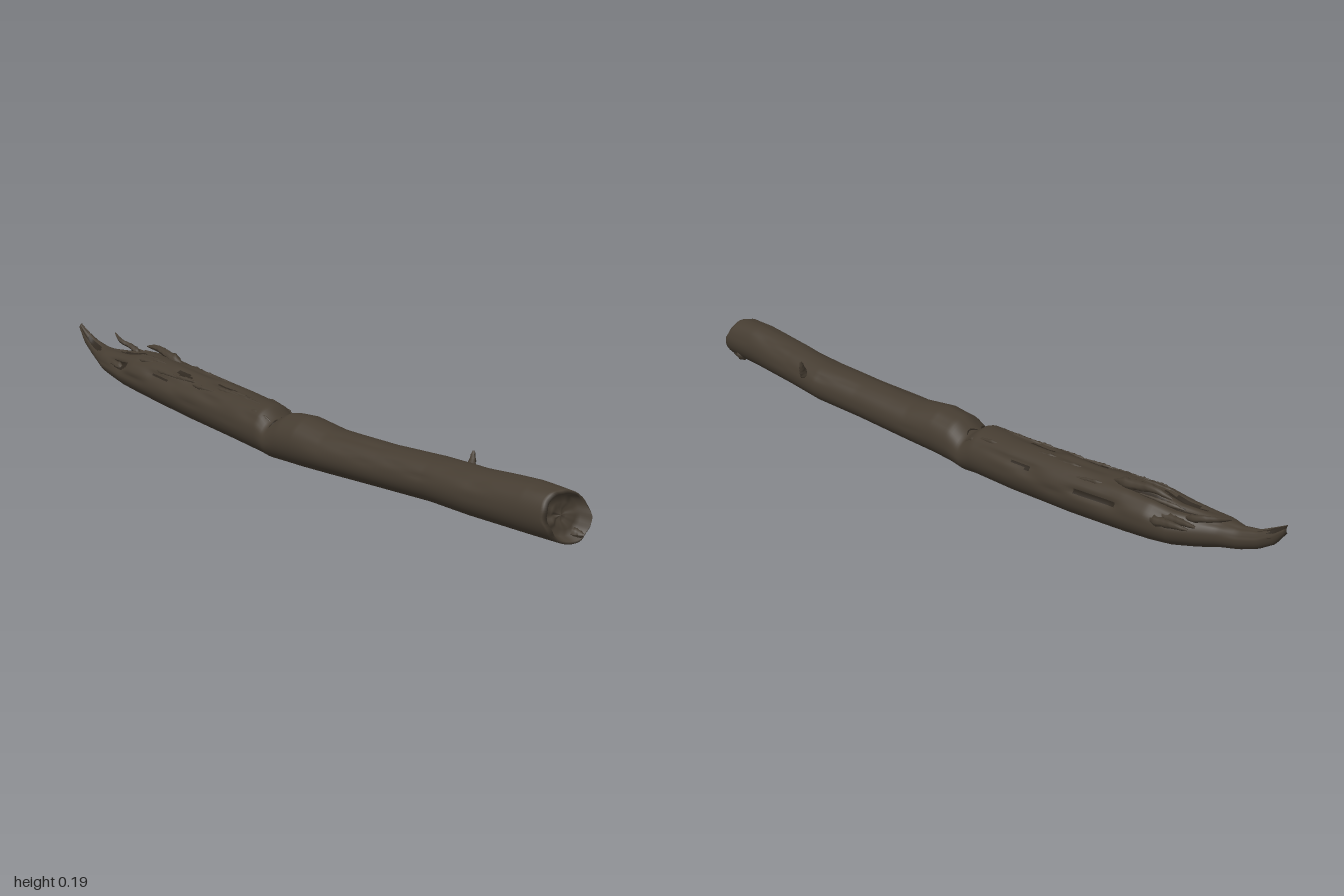
import * as THREE from 'three';

const bark = new THREE.MeshStandardMaterial({ color: 0x453c31 });
bark.name = 'weathered bark';
const crack = new THREE.MeshStandardMaterial({ color: 0x2e271f });
crack.name = 'dark crack';

// Log outline stations: x, bottom y, top y, back z, front z
const stations = [
  [-1.0, 0.17, 0.19, -0.005, 0.01],
  [-0.97, 0.13, 0.175, -0.01, 0.015],
  [-0.93, 0.105, 0.155, -0.018, 0.02],
  [-0.88, 0.085, 0.145, -0.025, 0.032],
  [-0.83, 0.072, 0.145, -0.035, 0.05],
  [-0.78, 0.058, 0.148, -0.055, 0.055],
  [-0.72, 0.046, 0.152, -0.08, 0.064],
  [-0.66, 0.038, 0.163, -0.088, 0.067],
  [-0.58, 0.03, 0.163, -0.087, 0.067],
  [-0.4, 0.016, 0.152, -0.082, 0.068],
  [-0.2, 0.006, 0.143, -0.075, 0.072],
  [-0.06, 0.001, 0.136, -0.064, 0.079],
  [-0.02, 0.0, 0.108, -0.062, 0.081],
  [0.03, 0.002, 0.135, -0.058, 0.084],
  [0.1, 0.005, 0.142, -0.055, 0.086],
  [0.2, 0.01, 0.13, -0.054, 0.082],
  [0.4, 0.02, 0.133, -0.055, 0.072],
  [0.56, 0.027, 0.141, -0.064, 0.067],
  [0.7, 0.032, 0.15, -0.05, 0.075],
  [0.88, 0.04, 0.166, -0.04, 0.077],
  [0.97, 0.045, 0.165, -0.036, 0.077],
];

function outline(x) {
  let i = 0;
  while (i < stations.length - 2 && x > stations[i + 1][0]) i++;
  const a = stations[i], b = stations[i + 1];
  const t = THREE.MathUtils.clamp((x - a[0]) / (b[0] - a[0]), 0, 1);
  return a.map((v, k) => v + (b[k] - v) * t);
}

// Seeded lattice noise, 0..1; the v axis wraps after n cells
function hash(i, j) {
  const s = Math.sin(i * 127.1 + j * 311.7 + 5.3) * 43758.5453;
  return s - Math.floor(s);
}
function noise(u, v, n) {
  const i = Math.floor(u), j = Math.floor(v);
  const f = (t) => t * t * (3 - 2 * t);
  const fu = f(u - i), fv = f(v - j);
  const h = (a, b) => hash(a, ((b % n) + n) % n + n * 3);
  const lerp = THREE.MathUtils.lerp;
  return lerp(lerp(h(i, j), h(i + 1, j), fu), lerp(h(i, j + 1), h(i + 1, j + 1), fu), fv);
}

// Depth of the lengthwise grooves, strongest on top of the torn end
function groove(x, a) {
  const w = a / (Math.PI * 2);
  const up = THREE.MathUtils.smoothstep(Math.sin(a), -0.35, 0.6);
  const torn = THREE.MathUtils.smoothstep(-x, 0.0, 0.6);
  const fine = Math.pow(noise(x * 11, w * 22, 22), 2.5);
  const broad = noise(x * 4 + 40, w * 7, 7);
  return 0.03 * broad + up * (0.05 + 0.17 * torn) * fine;
}

function logGeometry() {
  const rows = 240, cols = 64, pos = [], plain = [], dark = [];
  const ring = (x, shrink, place) => {
    const [, y0, y1, z0, z1] = outline(x);
    for (let j = 0; j < cols; j++) {
      const a = (j / cols) * Math.PI * 2;
      const r = (1 - groove(x, a)) * shrink;
      const s = Math.sin(a), c = Math.cos(a);
      pos.push(place(s, c, a), (y0 + y1) / 2 + ((y1 - y0) / 2) * s * r, (z0 + z1) / 2 + ((z1 - z0) / 2) * c * r);
    }
  };
  // Slanted right end: its low back edge reaches farthest
  const endX = (s, c, a) => 0.972 - 0.018 * c - 0.014 * s + 0.012 * (noise(3, a * 2.5464791, 16) - 0.5);
  const xs = [];
  for (let i = 0; i <= rows; i++) {
    const x = -1 + (1.97 * i) / rows;
    xs.push(x);
    const k = THREE.MathUtils.smoothstep(x, 0.86, 0.97);
    ring(x, 1, (s, c, a) => x + k * (endX(s, c, a) - 0.97));
  }
  // Broken end face, sunk inside a rough rim
  [[0.9, 0.004], [0.78, -0.016], [0.5, -0.012], [0.25, -0.02], [0.001, -0.016]].forEach(([r, d], n) => {
    xs.push(2);
    ring(0.97, r, (s, c, a) => 0.972 + (endX(s, c, a) - 0.972) * r + d + r * 0.014 * (noise(n + 9, (a / Math.PI) * 5, 10) - 0.5));
  });
  for (let i = 0; i < xs.length - 1; i++) {
    for (let j = 0; j < cols; j++) {
      const k = (j + 1) % cols;
      const p = i * cols + j, q = p + cols, r = (i + 1) * cols + k, s = i * cols + k;
      const deep = xs[i] < 0.97 && groove(xs[i], ((j + 0.5) / cols) * Math.PI * 2) > 0.1;
      (deep ? dark : plain).push(p, q, r, p, r, s);
    }
  }
  // Closed left tip
  for (let j = 1; j < cols - 1; j++) plain.push(0, j + 1, j);
  const g = new THREE.BufferGeometry();
  g.setAttribute('position', new THREE.Float32BufferAttribute(pos, 3));
  g.setIndex([...plain, ...dark]);
  g.addGroup(0, plain.length, 0);
  g.addGroup(plain.length, dark.length, 1);
  g.computeVertexNormals();
  return g;
}

// A bent sliver of wood that tapers from root to tip
function sliver(name, points, radius, flat = 1, material = bark) {
  const curve = new THREE.CatmullRomCurve3(points.map((p) => new THREE.Vector3(...p)));
  const n = 14, sides = 8;
  const g = new THREE.TubeGeometry(curve, n, radius, sides);
  const p = g.attributes.position, v = new THREE.Vector3();
  for (let i = 0; i <= n; i++) {
    const c = curve.getPointAt(i / n);
    const taper = Math.min(1, (i / n) * 5 + 0.02) * Math.pow(1 - (i / n) * 0.98, 0.5);
    for (let j = 0; j <= sides; j++) {
      const k = i * (sides + 1) + j;
      v.fromBufferAttribute(p, k).sub(c).multiplyScalar(taper * (0.8 + 0.4 * hash(i, j % sides)));
      v.y *= flat;
      v.add(c);
      p.setXYZ(k, v.x, v.y, v.z);
    }
  }
  g.computeVertexNormals();
  const m = new THREE.Mesh(g, material);
  m.name = name;
  return m;
}

export function createModel() {
  const model = new THREE.Group();
  model.name = 'brokenLog';
  const log = new THREE.Mesh(logGeometry(), [bark, crack]);
  log.name = 'logBody';
  model.add(log);

  // Splinters at the torn left end
  model.add(
    sliver('tipSplinter', [[-0.84, 0.115, 0.01], [-0.93, 0.135, 0.0], [-0.965, 0.15, -0.012]], 0.015),
    sliver('upperSplinter', [[-0.74, 0.13, -0.04], [-0.8, 0.148, -0.042], [-0.84, 0.158, -0.035], [-0.88, 0.175, -0.04]], 0.011),
    sliver('backSplinter', [[-0.66, 0.11, -0.07], [-0.74, 0.125, -0.08], [-0.79, 0.13, -0.083]], 0.014),
    sliver('innerSplinter', [[-0.66, 0.12, -0.05], [-0.74, 0.128, -0.058], [-0.8, 0.135, -0.068]], 0.014),
    sliver('frontSplinter', [[-0.7, 0.11, 0.045], [-0.8, 0.12, 0.036], [-0.87, 0.13, 0.026]], 0.014),
    sliver('raisedBark', [[-0.52, 0.15, -0.03], [-0.6, 0.162, -0.034], [-0.65, 0.17, -0.037], [-0.71, 0.165, -0.04]], 0.016),
    sliver('branchStub', [[0.61, 0.09, -0.045], [0.605, 0.125, -0.06], [0.6, 0.15, -0.068]], 0.014),
    sliver('endLip', [[0.93, 0.07, -0.01], [0.97, 0.062, -0.006], [1.0, 0.065, -0.004]], 0.022),
  );

  // Loose strips lying along the weathered top
  for (let i = 0; i < 16; i++) {
    const x = -0.74 + i * 0.045, len = 0.07 + 0.08 * hash(i, 2);
    const a = Math.PI * (0.22 + 0.56 * hash(i, 7));
    const points = [0, 0.5, 1].map((t) => {
      const px = Math.min(x + len * t, -0.03);
      const [, y0, y1, z0, z1] = outline(px);
      const r = 0.93, b = a + 0.12 * (t - 0.5);
      return [px + t * 0.004, (y0 + y1) / 2 + ((y1 - y0) / 2) * r * Math.sin(b), (z0 + z1) / 2 + ((z1 - z0) / 2) * r * Math.cos(b)];
    });
    model.add(sliver('barkStrip', points, 0.007));
  }

  // Split running across the log at the notch
  const split = [0.2, 0.32, 0.44, 0.56, 0.68].map((f, i) => {
    const x = -0.02 + 0.012 * (i % 2);
    const [, y0, y1, z0, z1] = outline(x), a = Math.PI * f;
    return [x, (y0 + y1) / 2 + ((y1 - y0) / 2) * 0.96 * Math.sin(a), (z0 + z1) / 2 + ((z1 - z0) / 2) * 0.96 * Math.cos(a)];
  });
  model.add(sliver('notchSplit', split, 0.004, 1, crack));
  return model;
}
